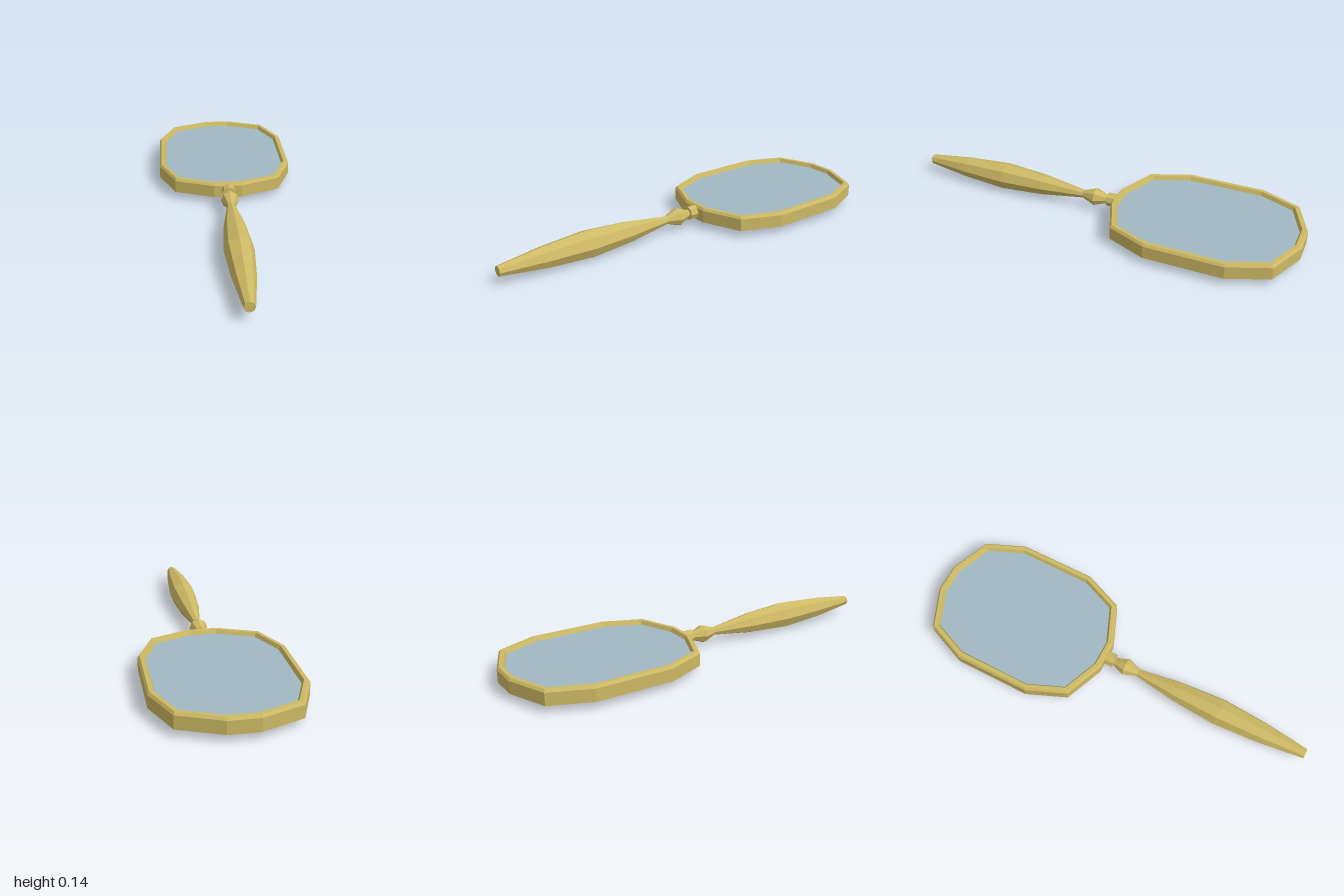
import * as THREE from 'three';

const gold = new THREE.MeshStandardMaterial({ name: 'gold', color: 0xcdb964, flatShading: true });
const glass = new THREE.MeshStandardMaterial({ name: 'mirrorGlass', color: 0xa0b8c4, flatShading: true });

// Half outline of the head, as x and distance behind the middle, counterclockwise from above
const half = [[0.07, 0.07], [0.265, 0.15], [0.345, 0.345], [0.345, 0.725], [0.265, 0.92], [0.07, 1]];
const outline = [...half, ...half.map(([x, s]) => [-x, s]).reverse()].map(([x, s]) => new THREE.Vector2(x, s));

// Outline moved inward by a constant distance with mitred corners, at height y
function ring(inset, y) {
  const n = outline.length;
  const normal = (a, b) => new THREE.Vector2(a.y - b.y, b.x - a.x).normalize();
  return outline.map((p, i) => {
    const n1 = normal(outline[(i + n - 1) % n], p);
    const n2 = normal(p, outline[(i + 1) % n]);
    const m = n1.clone().add(n2).multiplyScalar(inset / (1 + n1.dot(n2)));
    return new THREE.Vector3(p.x + m.x, y, -(p.y + m.y));
  });
}

function fromTriangles(points) {
  const geometry = new THREE.BufferGeometry().setFromPoints(points);
  geometry.computeVertexNormals();
  return geometry;
}

// Flat convex cap as a fan facing up
function cap(r) {
  const out = [];
  for (let i = 1; i < r.length - 1; i++) out.push(r[0], r[i], r[i + 1]);
  return out;
}

function addMesh(group, name, geometry, material) {
  const mesh = new THREE.Mesh(geometry, material);
  mesh.name = name;
  group.add(mesh);
  return mesh;
}

export function createModel() {
  const model = new THREE.Group();
  model.name = 'handMirror';

  // Frame: flat back, straight side, bevelled rim and sloped inner lip
  const rings = [[0, 0.034], [0, 0.095], [0.009, 0.107], [0.027, 0.107], [0.036, 0.088]].map(([d, y]) => ring(d, y));
  const tris = cap(rings[0]).reverse();
  for (let k = 0; k < rings.length - 1; k++) {
    const lo = rings[k], hi = rings[k + 1];
    lo.forEach((a, i) => {
      const j = (i + 1) % lo.length;
      tris.push(a, lo[j], hi[j], a, hi[j], hi[i]);
    });
  }
  addMesh(model, 'frame', fromTriangles(tris), gold);

  // Mirror pane
  addMesh(model, 'mirrorPane', fromTriangles(cap(rings[rings.length - 1])), glass);

  // Handle: eight-sided turned profile with a bead near the head
  const profile = [[0, -0.04], [0.022, -0.04], [0.022, -0.02], [0.045, 0.038], [0.02, 0.105],
    [0.053, 0.33], [0.0685, 0.55], [0.053, 0.78], [0.025, 1], [0, 1]];
  const handle = new THREE.LatheGeometry(profile.map(([r, z]) => new THREE.Vector2(r, z)), 8);
  addMesh(model, 'handle', handle.rotateX(Math.PI / 2), gold).position.y = 0.0685;

  // Collar joining the handle to the frame
  const collar = new THREE.CylinderGeometry(0.034, 0.034, 0.06, 8).rotateX(Math.PI / 2);
  addMesh(model, 'collar', collar, gold).position.set(0, 0.0705, -0.058);

  return model;
}
